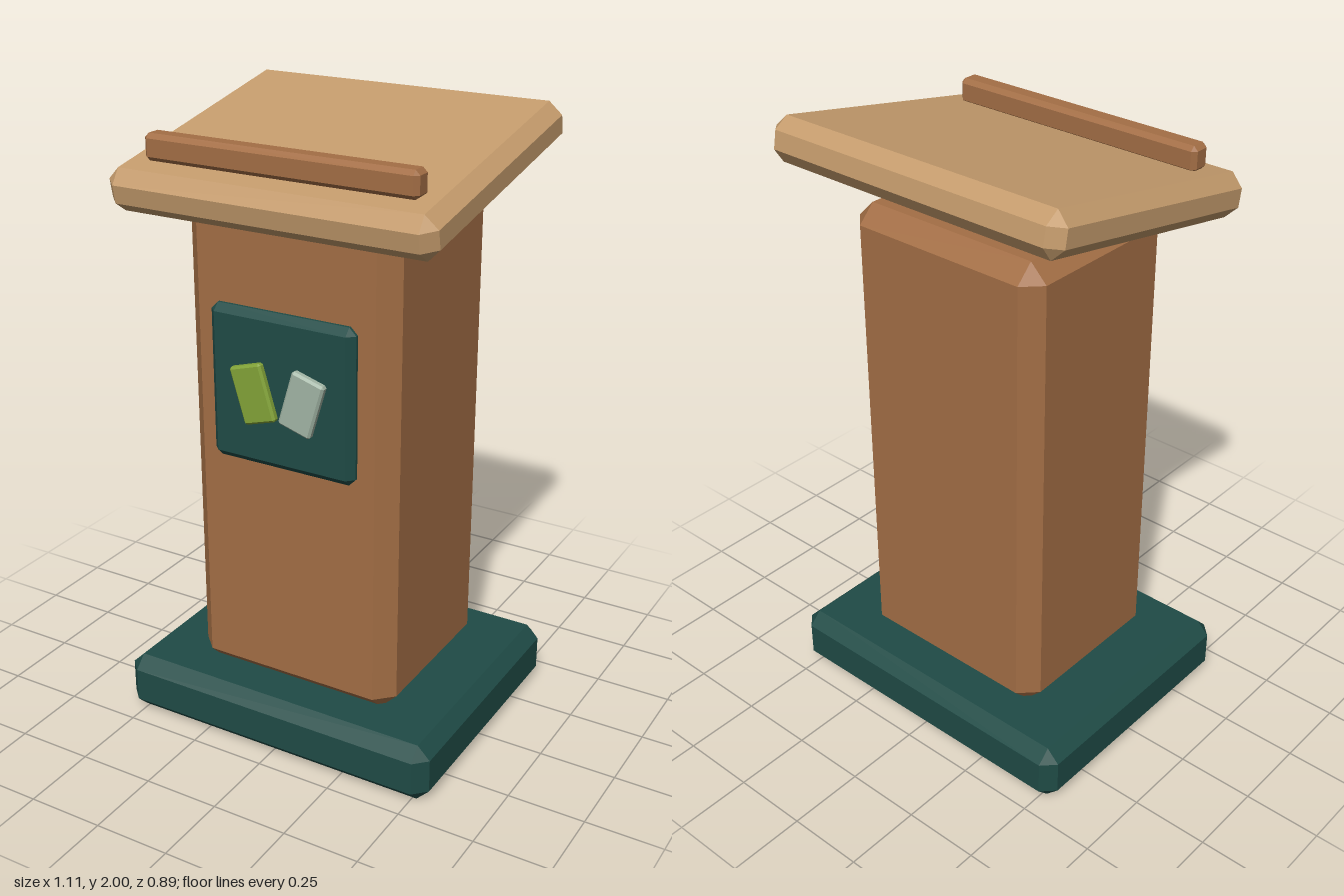
import * as THREE from 'three';
import { ConvexGeometry } from 'three/addons/geometries/ConvexGeometry.js';

function material(name, color) {
  const m = new THREE.MeshStandardMaterial({ color });
  m.name = name;
  return m;
}

// Box with every edge cut by a flat bevel of width c
function bevelBox(w, h, d, c) {
  const x = w / 2, y = h / 2, z = d / 2, points = [];
  for (const sx of [-1, 1]) for (const sy of [-1, 1]) for (const sz of [-1, 1]) {
    points.push(
      new THREE.Vector3(sx * x, sy * (y - c), sz * (z - c)),
      new THREE.Vector3(sx * (x - c), sy * y, sz * (z - c)),
      new THREE.Vector3(sx * (x - c), sy * (y - c), sz * z)
    );
  }
  return new ConvexGeometry(points);
}

export function createModel() {
  const group = new THREE.Group();
  group.name = 'lectern';

  const teal = material('dark teal', 0x1f4b46);
  const wood = material('brown wood', 0xa36e45);
  const tan = material('light wood', 0xc49b6c);
  const green = material('leaf green', 0x82a338);
  const pale = material('pale sage', 0xa2b5a5);

  function add(name, mat, size, bevel, position) {
    const mesh = new THREE.Mesh(bevelBox(...size, bevel), mat);
    mesh.name = name;
    mesh.position.set(...position);
    group.add(mesh);
    return mesh;
  }

  // Foot and column
  add('base', teal, [1.11, 0.195, 0.895], 0.042, [0, 0.0975, 0]);
  add('column', wood, [0.715, 1.565, 0.62], 0.056, [0, 0.9575, 0]);

  // Sloping reading board with its book stop
  add('readingBoard', tan, [1.075, 0.137, 0.892], 0.04, [0, 1.852, 0]).rotation.x = 0.19;
  add('bookStop', wood, [0.895, 0.082, 0.07], 0.014, [0, 1.896, 0.321]);

  // Front panel with two leaning pages
  add('frontPanel', teal, [0.494, 0.494, 0.055], 0.023, [0, 1.208, 0.3195]);
  for (const [name, mat, side] of [['rightPage', green, -1], ['leftPage', pale, 1]]) {
    add(name, mat, [0.113, 0.183, 0.03], 0.007, [side * 0.084, 1.2, 0.353]).rotation.z = -side * 0.29;
  }

  return group;
}
